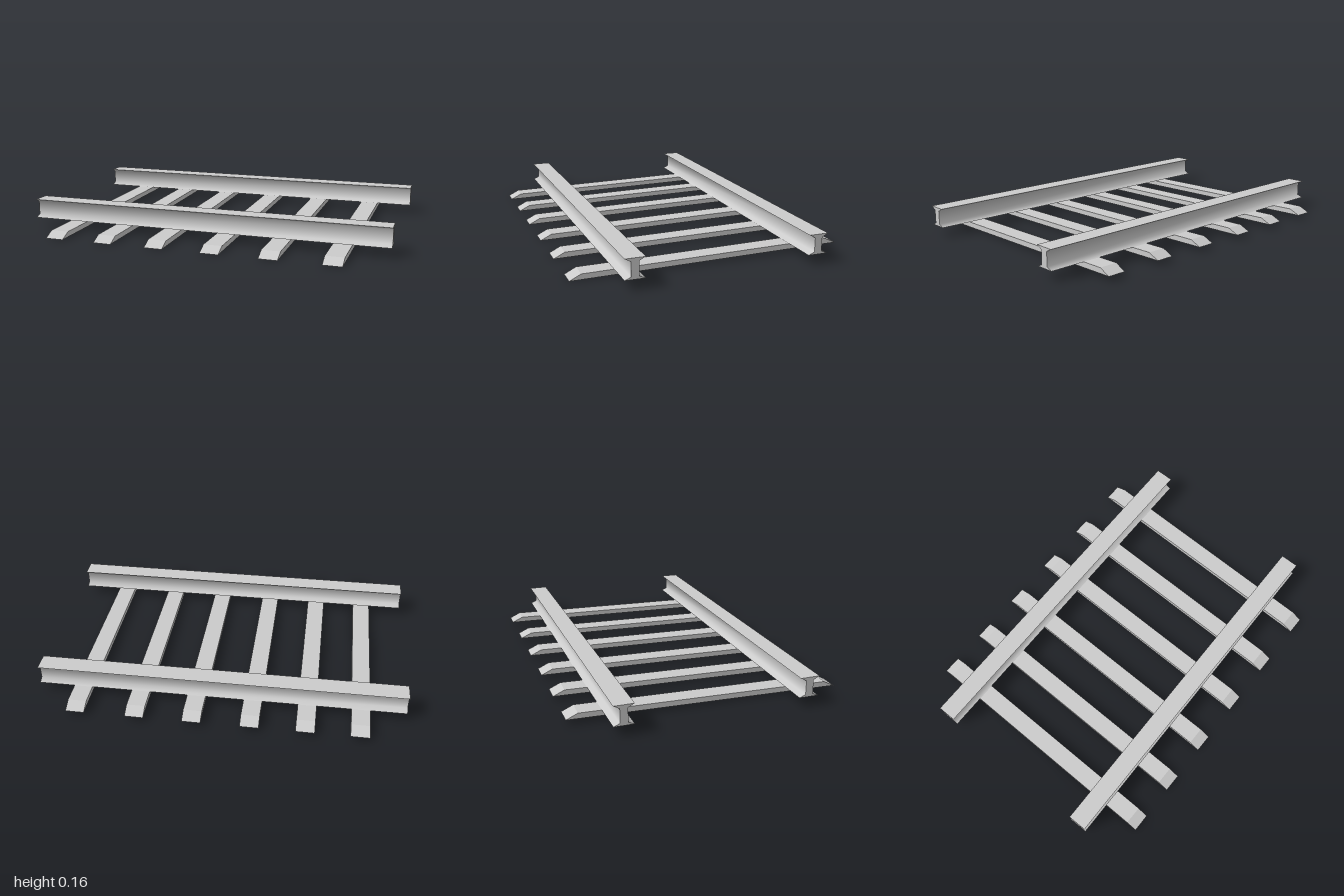
import * as THREE from 'three';
import { toCreasedNormals } from 'three/addons/utils/BufferGeometryUtils.js';

// Extrude a (z, y) outline along x, centred on x = 0.
function extrudeAlongX(points, length) {
  const shape = new THREE.Shape(points.map(([z, y]) => new THREE.Vector2(z, y)));
  const geo = new THREE.ExtrudeGeometry(shape, { depth: length, bevelEnabled: false });
  geo.translate(0, 0, -length / 2);
  geo.rotateY(Math.PI / 2);
  return geo;
}

export function createModel() {
  const model = new THREE.Group();
  model.name = 'railwayTrack';
  const material = new THREE.MeshStandardMaterial({ color: 0xcccccc });

  // I-shaped rails, with flanges blending smoothly into the web
  const half = [[0.052, 0.052], [0.02, 0.066], [0.02, 0.14], [0.052, 0.157]];
  const mirrored = half.map(([z, y]) => [-z, y]).reverse();
  const railGeo = toCreasedNormals(extrudeAlongX([...half, ...mirrored], 2), 1.3);
  for (const [name, z] of [['frontRail', 0.465], ['backRail', -0.495]]) {
    const rail = new THREE.Mesh(railGeo, material);
    rail.name = name;
    rail.position.z = z;
    model.add(rail);
  }

  // Unevenly spaced sleepers with sloped ends, slightly tilted and turned
  const sleeperGeo = extrudeAlongX(
    [[-0.724, 0], [0.724, 0], [0.664, 0.029], [-0.664, 0.029]], 0.1);
  [-0.761, -0.477, -0.185, 0.122, 0.429, 0.75].forEach((x, i) => {
    const sleeper = new THREE.Mesh(sleeperGeo, material);
    sleeper.name = `sleeper${i + 1}`;
    sleeper.position.set(x, 0.0125, 0);
    sleeper.rotation.set(0.0173, -0.009, 0);
    model.add(sleeper);
  });

  return model;
}
